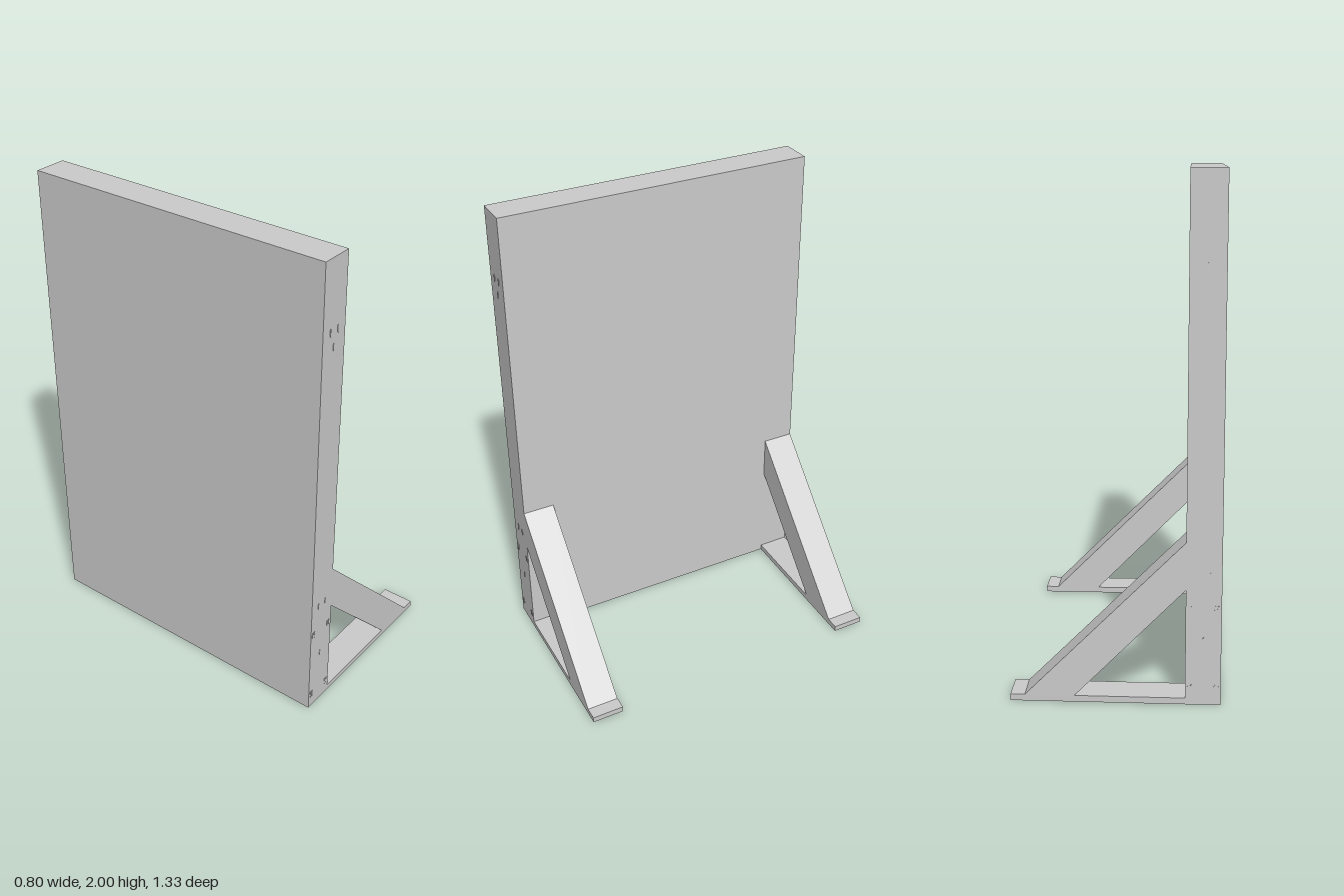
import * as THREE from 'three';

const material = new THREE.MeshStandardMaterial({ color: 0xcccccc, flatShading: true });

const PANEL = { x0: -0.4, x1: -0.265, height: 2, depth: 1.33 };
const FOOT_WIDTH = 0.135;

function add(parent, geometry, name) {
  const mesh = new THREE.Mesh(geometry, material);
  mesh.name = name;
  parent.add(mesh);
  return mesh;
}

// Triangular support foot: base strip with a toe and a diagonal brace
function footGeometry() {
  const points = (list) => list.map(([x, y]) => new THREE.Vector2(x, y));
  const strip = new THREE.Shape(points([
    [PANEL.x1, 0], [0.4, 0], [0.4, 0.025], [0.345, 0.025],
    [PANEL.x1, 0.64], [PANEL.x1, 0.455], [0.155, 0.025], [PANEL.x1, 0.025],
  ]));
  return new THREE.ExtrudeGeometry(strip, { depth: FOOT_WIDTH, bevelEnabled: false });
}

export function createModel() {
  const model = new THREE.Group();
  model.name = 'standingPanel';

  // Upright panel
  const thickness = PANEL.x1 - PANEL.x0;
  const centerX = (PANEL.x0 + PANEL.x1) / 2;
  const panel = add(model, new THREE.BoxGeometry(thickness, PANEL.height, PANEL.depth), 'panel');
  panel.position.set(centerX, PANEL.height / 2, 0);

  // Feet at both ends of the panel
  for (const [side, z] of [['left', -PANEL.depth / 2], ['right', PANEL.depth / 2 - FOOT_WIDTH]]) {
    add(model, footGeometry(), side + 'Foot').position.z = z;
  }

  // Small, nearly flush fixings on the panel ends: [fraction across, height]
  const fixings = new THREE.Group();
  fixings.name = 'fixings';
  model.add(fixings);
  const spots = [[1 / 3, 1.72], [2 / 3, 1.72], [0.5, 1.655], [1 / 3, 0.51], [2 / 3, 0.51], [0.5, 0.255]];
  for (const y of [0.38, 0.065]) {
    for (const across of [0.09, 0.17, 0.83, 0.91]) spots.push([across, y]);
  }
  for (const [across, y] of spots) {
    for (const end of [-1, 1]) {
      const stud = add(fixings, new THREE.CylinderGeometry(1, 1, 0.004, 12).rotateX(Math.PI / 2), 'fixing');
      stud.scale.set(0.004, 0.016, 1);
      stud.position.set(PANEL.x0 + across * thickness, y, end * PANEL.depth / 2);
    }
  }
  return model;
}
